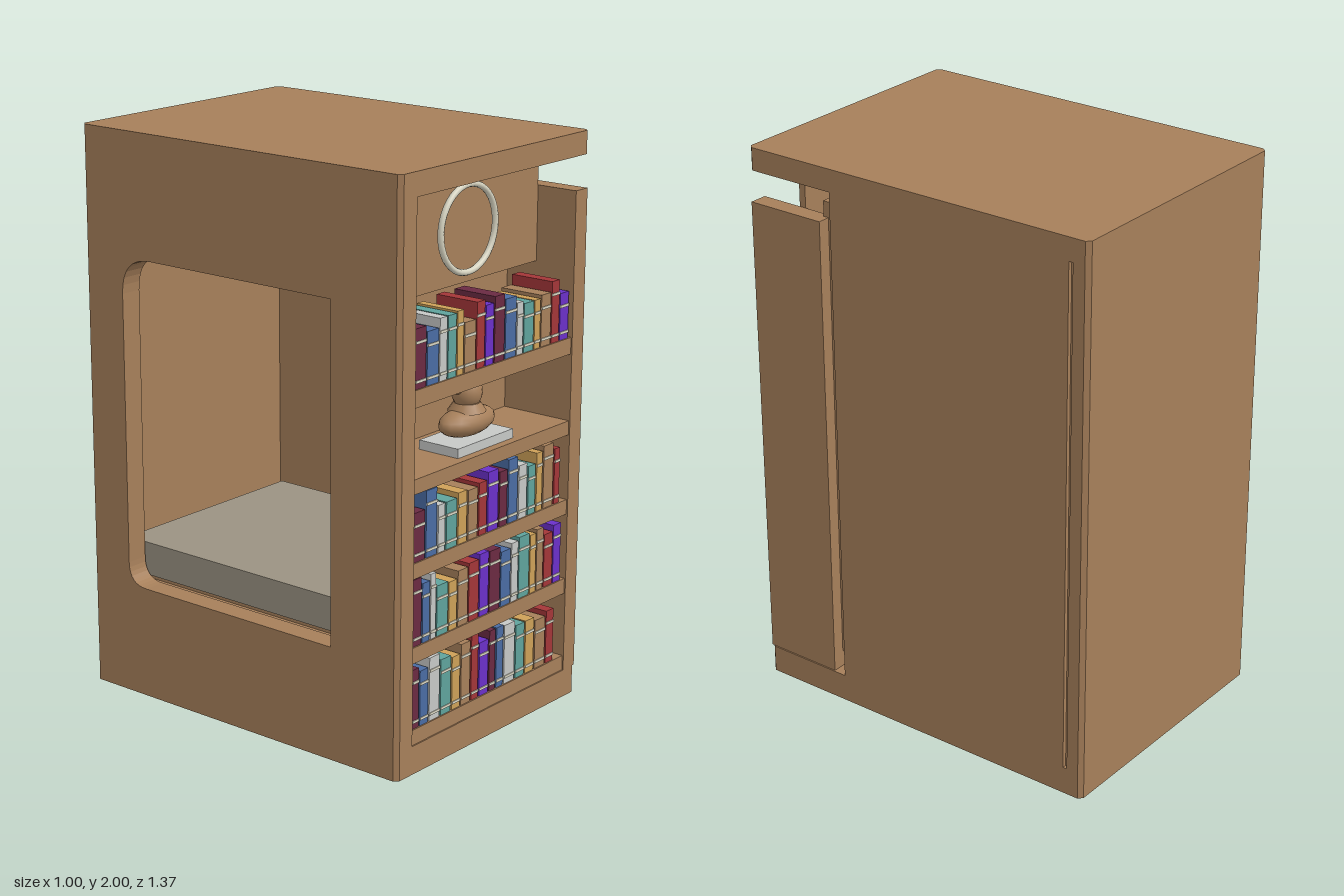
import * as THREE from 'three';

const mat = (name, color, opts = {}) => Object.assign(new THREE.MeshStandardMaterial({ color, ...opts }), { name });

export function createModel() {
  const root = new THREE.Group();
  root.name = 'bookcaseCabinet';
  const wood = mat('wood', 0xa67f5a);
  const cream = mat('cream', 0xd8d5c2);
  const cushionGrey = mat('cushionGrey', 0x9a9282);
  const maroon = mat('maroon', 0x6a2a42), blue = mat('blue', 0x4a6ca3), grey = mat('lightGrey', 0xc6c8c6);
  const teal = mat('teal', 0x5fa39c), gold = mat('gold', 0xcda058), red = mat('red', 0xa33638);
  const purple = mat('purple', 0x6a30c8);

  const add = (name, geometry, material, parent = root) => {
    const m = new THREE.Mesh(geometry, material);
    m.name = name;
    parent.add(m);
    return m;
  };
  // Box given by its limits on each axis
  const box = (name, x0, x1, y0, y1, z0, z1, material = wood, parent = root) =>
    add(name, new THREE.BoxGeometry(x1 - x0, y1 - y0, z1 - z0)
      .translate((x0 + x1) / 2, (y0 + y1) / 2, (z0 + z1) / 2), material, parent);
  // Upright prism over a floor outline of [x, z] points
  const prism = (name, pts, y0, y1) => {
    const shape = new THREE.Shape(pts.map(([x, z]) => new THREE.Vector2(x, -z)));
    const g = new THREE.ExtrudeGeometry(shape, { depth: y1 - y0, bevelEnabled: false });
    return add(name, g.rotateX(-Math.PI / 2).translate(0, y0, 0), wood);
  };

  // Carcass: plinth and top with chamfered corners
  const W = 0.5, D = 0.685, c = 0.015;
  const outline = [[-W + c, D], [W - c, D], [W, D - c], [W, -D + c], [W - c, -D], [-W + c, -D], [-W, -D + c], [-W, D - c]];
  prism('plinth', outline, 0, 0.1);
  prism('top', outline, 1.92, 2);
  prism('backWall', [[-W, -0.625], [W, -0.625], [W, -D + c], [W - c, -D], [-W + c, -D], [-W, -D + c]], 0.1, 1.92);
  prism('frontStile', [[-W, 0.6], [-W, D - c], [-W + c, D], [-0.42, D], [-0.42, 0.6]], 0.1, 1.92);

  // Side wall with the shallow groove near the back
  box('plainSideWall', 0.43, W, 0.1, 1.92, -0.61, 0.34);
  box('grooveBacking', 0.43, 0.485, 0.1, 1.92, -0.625, -0.61);

  // Side wall with the entrance, rounded at its rear corners
  const side = new THREE.Shape([[-0.625, 0.1], [0.6, 0.1], [0.6, 1.92], [-0.625, 1.92]].map(p => new THREE.Vector2(...p)));
  const hole = new THREE.Path();
  const z0 = -0.51, z1 = 0.406, y0 = 0.4, y1 = 1.57, r = 0.13, rb = 0.08;
  hole.moveTo(z1, y0);
  hole.lineTo(z1, y1);
  hole.lineTo(z0 + r, y1);
  hole.quadraticCurveTo(z0, y1, z0, y1 - r);
  hole.lineTo(z0, y0 + rb);
  hole.quadraticCurveTo(z0, y0, z0 + rb, y0);
  side.holes.push(hole);
  add('entranceSideWall', new THREE.ExtrudeGeometry(side, { depth: 0.08, bevelEnabled: false, curveSegments: 8 })
    .rotateY(-Math.PI / 2).translate(-0.42, 0, 0), wood);

  // Interior floor and cushion
  box('interiorFloor', -0.42, 0.43, 0.33, 0.385, -0.625, 0.34);
  box('cushion', -0.41, 0.41, 0.41, 0.53, -0.6, 0.33, cushionGrey);
  box('cushionBase', -0.38, 0.38, 0.385, 0.41, -0.58, 0.31);

  // Shelf unit
  const unit = new THREE.Group();
  unit.name = 'shelfUnit';
  root.add(unit);
  box('unitBack', -0.42, 0.45, 0.16, 1.86, 0.363, 0.41, wood, unit);
  box('unitSide', 0.43, 0.495, 0.1, 1.805, 0.39, D, wood, unit);
  box('upperPanel', -0.42, 0.43, 1.545, 1.92, 0.505, 0.53, wood, unit);
  box('innerStrip', -0.42, -0.39, 0.375, 1.56, 0.46, 0.5, cream, unit);
  for (const [a, b] of [[0.1, 0.153], [0.385, 0.44], [0.675, 0.728], [0.96, 1.01], [1.245, 1.303]])
    box('shelf', -0.42, 0.43, a, b, 0.41, 0.68, wood, unit);

  // Ring hung before the upper panel
  add('ring', new THREE.TorusGeometry(0.145, 0.011, 8, 40).translate(0, 1.735, 0.565), cream, unit);

  // Books: base height, gap, widths and top heights (thousandths)
  const covers = [maroon, blue, grey, teal, gold, wood, red, purple];
  const rows = [
    [0.303, 6, [53, 58, 37, 42, 32, 58, 42, 42, 53, 58, 32, 53, 32, 53, 42, 48],
      [197, 177, 207, 207, 212, 167, 222, 202, 222, 202, 177, 167, 167, 177, 212, 162], 1],
    [0.728, 8, [55, 55, 35, 55, 45, 50, 42, 55, 42, 50, 45, 40, 32, 55, 30],
      [167, 227, 162, 162, 177, 172, 182, 207, 192, 222, 187, 172, 207, 222, 197], 0],
    [0.44, 6, [42, 37, 27, 58, 42, 53, 53, 48, 58, 53, 37, 58, 32, 37, 48, 42],
      [230, 205, 225, 175, 170, 195, 205, 220, 215, 195, 210, 220, 210, 220, 190, 210], 0],
    [0.153, 7.6, [32, 42, 53, 53, 42, 48, 37, 48, 32, 37, 58, 48, 48, 58, 42],
      [207, 192, 222, 197, 187, 217, 232, 192, 217, 217, 212, 192, 192, 177, 192], 0],
  ];
  for (const [base, gap, widths, heights, lift] of rows) {
    const row = new THREE.Group();
    row.name = 'bookRow';
    root.add(row);
    let x = -0.408;
    widths.forEach((w, i) => {
      const xe = x + w / 1000, b = base + lift, h = heights[i] / 1000;
      box('book', x, xe, b, b + h, 0.51, 0.675, covers[i % 8], row);
      for (const y of [b + 0.02, b + h - 0.05])
        box('spineBand', x, xe, y, y + 0.009, 0.675, 0.678, cream, row);
      x = xe + gap / 1000;
    });
  }

  // Small figure on a slab
  const figure = new THREE.Group();
  figure.name = 'figure';
  root.add(figure);
  box('figureSlab', -0.15, 0.15, 1.01, 1.042, 0.49, 0.65, grey, figure);
  const ball = (name, x, y, rx, ry, rz) =>
    add(name, new THREE.SphereGeometry(1, 16, 10).scale(rx, ry, rz).translate(x, y, 0.57), wood, figure);
  ball('figureBody', 0, 1.09, 0.13, 0.05, 0.065);
  ball('figureHead', 0, 1.188, 0.056, 0.056, 0.05);
  ball('figureEar', -0.052, 1.215, 0.02, 0.025, 0.02);
  add('figureNeck', new THREE.CylinderGeometry(0.045, 0.065, 0.03, 16).translate(0, 1.14, 0.57), wood, figure);
  return root;
}
